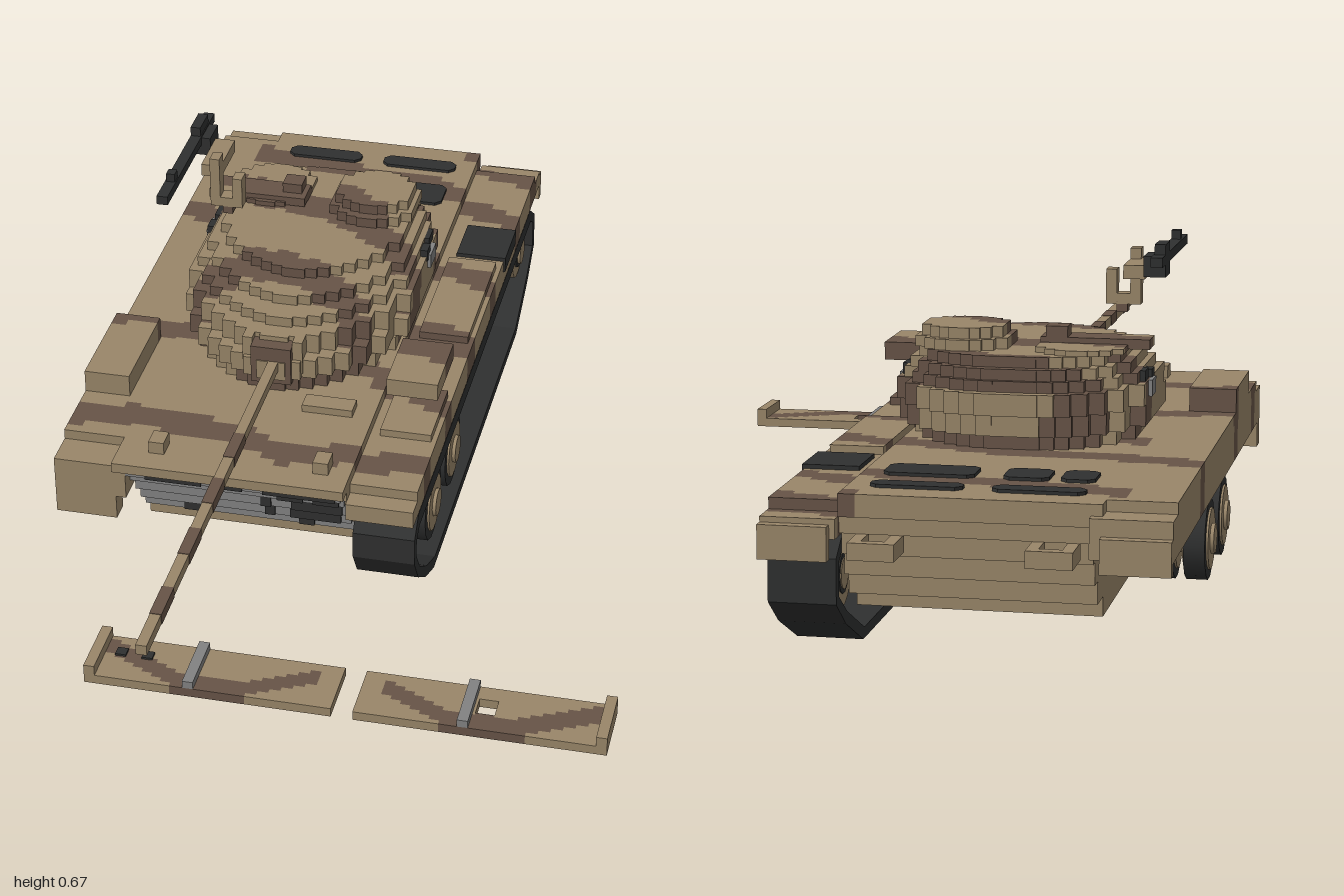
import * as THREE from 'three';
import { mergeGeometries } from 'three/addons/utils/BufferGeometryUtils.js';

const mat = (name, color) => { const m = new THREE.MeshStandardMaterial({ color }); m.name = name; return m; };

export function createModel() {
  const root = new THREE.Group();
  const tan = mat('tan', 0x998669), brown = mat('dark brown', 0x675447);
  const black = mat('black', 0x2f3030), grey = mat('grey', 0x828282);

  const add = (name, geo, m) => {
    const mesh = new THREE.Mesh(geo, m);
    mesh.name = name;
    root.add(mesh);
    return mesh;
  };
  // a box given by its bounds: x0, x1, y0, y1, z0, z1
  const boxGeo = ([x0, x1, y0, y1, z0, z1]) =>
    new THREE.BoxGeometry(x1 - x0, y1 - y0, z1 - z0).translate((x0 + x1) / 2, (y0 + y1) / 2, (z0 + z1) / 2);
  const boxes = (name, m, ...list) => add(name, mergeGeometries(list.map(boxGeo)), m);

  // wavy camouflage bands: points of (x, z) per band
  const bands = [
    [[-0.04, -0.96], [0, -0.91], [0.14, -0.87]],
    [[-0.47, -0.84], [-0.3, -0.8], [-0.1, -0.79], [0.14, -0.68]],
    [[-0.58, -0.58], [-0.45, -0.54], [-0.18, -0.52], [0.14, -0.41]],
    [[-0.46, -0.39], [-0.37, -0.37], [-0.18, -0.33], [-0.05, -0.24], [0.14, -0.18]],
    [[-0.58, -0.05], [-0.45, -0.1], [-0.3, -0.12], [-0.13, -0.09], [0, 0], [0.14, 0.05]],
    [[-0.58, 0.24], [-0.45, 0.22], [-0.26, 0.24], [-0.13, 0.29], [0.14, 0.23]],
  ];
  const bandZ = (pts, x) => {
    for (let i = 1; i < pts.length; i++) {
      const [[ax, az], [bx, bz]] = [pts[i - 1], pts[i]];
      if (x >= ax && x <= bx) return az + (bz - az) * (x - ax) / (bx - ax);
    }
    return 99;
  };
  const hullCamo = (x, y, z) => bands.some(b => Math.abs(z - bandZ(b, x)) < 0.034);
  // the bands lean back up the turret; its lower nose is dark
  const turretCamo = (x, y, z) => (y < 0.35 && z > -0.01 && x > -0.28 && x < -0.08)
    || bands.some(b => Math.abs(z + 0.4 * (y - 0.45) - bandZ(b, x)) < 0.04);

  // solid boxes cut into small columns, each run coloured by the pattern
  const camo = (name, list, pattern = hullCamo, cx = 0.03, cz = 0.02) => {
    const parts = [[], []];
    for (const [x0, x1, y0, y1, z0, z1] of list) {
      const nx = Math.max(1, Math.round((x1 - x0) / cx)), nz = Math.max(1, Math.round((z1 - z0) / cz));
      const X = i => x0 + (x1 - x0) * i / nx, Z = i => z0 + (z1 - z0) * i / nz;
      for (let i = 0; i < nx; i++) {
        const at = j => +pattern(X(i + 0.5), (y0 + y1) / 2, Z(j + 0.5));
        for (let j = 0, s = 0; j < nz; j++) {
          if (j + 1 < nz && at(j + 1) === at(s)) continue;
          parts[at(s)].push(boxGeo([X(i), X(i + 1), y0, y1, Z(s), Z(j + 1)]));
          s = j + 1;
        }
      }
    }
    if (parts[0].length) add(name, mergeGeometries(parts[0]), tan);
    if (parts[1].length) add(name + 'Stripes', mergeGeometries(parts[1]), brown);
  };

  // lower hull, stepped at both ends
  boxes('lowerHull', tan,
    [-0.43, 0, 0.085, 0.12, -0.8, 0.22], [-0.43, 0, 0.12, 0.16, -0.86, 0.24],
    [-0.43, 0, 0.16, 0.2, -0.89, 0.27], [-0.43, 0, 0.2, 0.24, -0.91, 0.3], [-0.43, 0, 0.24, 0.27, -0.93, 0.33]);
  // deck, fenders, end flaps and boxes on the fenders
  camo('deck', [[-0.45, 0, 0.27, 0.29, -0.94, 0.36], [-0.45, 0, 0.29, 0.31, -0.94, 0.39]]);
  camo('fenders', [
    [-0.57, -0.43, 0.22, 0.29, -0.96, 0.37], [0, 0.13, 0.235, 0.27, -0.96, 0.37],
    [0, 0.13, 0.27, 0.29, -0.9, 0.33], [-0.57, -0.45, 0.29, 0.31, -0.9, 0.3],
    [-0.57, -0.45, 0.17, 0.22, 0.33, 0.37], [-0.57, -0.45, 0.2, 0.26, -0.98, -0.96],
    [0.01, 0.13, 0.2, 0.26, -0.98, -0.96],
  ]);
  camo('stowageBoxes', [[-0.57, -0.48, 0.31, 0.355, -0.06, 0.16],
    [0.02, 0.12, 0.29, 0.305, -0.5, -0.2], [0.02, 0.12, 0.29, 0.305, 0, 0.16]]);
  camo('looseBox', [[0.03, 0.13, 0.38, 0.415, 0, 0.15]]);
  boxes('deckFittings', tan, [-0.39, -0.36, 0.31, 0.335, 0.3, 0.34], [-0.07, -0.04, 0.31, 0.335, 0.3, 0.34],
    [-0.14, -0.04, 0.31, 0.325, 0.1, 0.14]);

  // undercut nose: grey stepped plates with dark worn patches on the left half
  [[0.125, 0.16, 0.24], [0.16, 0.2, 0.27], [0.2, 0.24, 0.3], [0.24, 0.27, 0.33], [0.27, 0.29, 0.36]].forEach(([y0, y1, z], i) => {
    boxes('nosePlate', grey, [-0.43, -0.01, y0, y1, z, z + 0.009]);
    const patches = [
      [[-0.35, -0.31], [-0.12, -0.09]], [[-0.18, -0.16], [-0.13, -0.03]], [[-0.18, -0.16], [-0.12, -0.02]],
      [[-0.14, -0.09], [-0.07, -0.02]], [[-0.39, -0.28], [-0.24, -0.2], [-0.16, -0.02]],
    ][i];
    boxes('nosePatches', black, ...patches.map(([a, b]) => [a, b, y0, y1, z + 0.009, z + 0.013]));
  });

  // engine deck grilles and the dark fender panel
  const bevelPlate = (x0, x1, z0, z1) => {
    const c = 0.012, s = new THREE.Shape([[x0 + c, z0], [x1 - c, z0], [x1, z0 + c], [x1, z1 - c],
      [x1 - c, z1], [x0 + c, z1], [x0, z1 - c], [x0, z0 + c]].map(([x, z]) => new THREE.Vector2(x, -z)));
    return new THREE.ExtrudeGeometry(s, { depth: 0.006, bevelEnabled: false }).rotateX(-Math.PI / 2).translate(0, 0.31, 0);
  };
  const grilles = [[-0.41, -0.25, -0.88, -0.84], [-0.2, -0.04, -0.88, -0.84],
    [-0.41, -0.35, -0.775, -0.695], [-0.33, -0.25, -0.775, -0.695], [-0.2, -0.04, -0.775, -0.695]];
  add('grilles', mergeGeometries(grilles.map(g => bevelPlate(...g))), black);
  boxes('fenderPanel', black, [0.03, 0.134, 0.265, 0.298, -0.65, -0.53]);

  // rear towing loops
  for (const x of [-0.41, -0.11]) {
    boxes('towLoop', tan, [x, x + 0.02, 0.21, 0.24, -0.99, -0.92], [x + 0.06, x + 0.08, 0.21, 0.24, -0.99, -0.92],
      [x, x + 0.08, 0.21, 0.24, -1, -0.98]);
  }

  // rounded layer as columns: centre x, y0, y1, back z, front z, half width, sweep of the sides
  const round = (cx, y0, y1, zb, zf, r, sweep = 0, n = 16) => Array.from({ length: n }, (_, i) => {
    const w = 2 * r / n, x = -r + (i + 0.5) * w;
    const h = Math.sqrt(1 - (x / r) ** 2) ** 0.8 * (zf - zb) / 2, c = (zf + zb) / 2 - sweep * Math.abs(x);
    return [cx + x - w / 2, cx + x + w / 2, y0, y1, c - h, Math.min(zf, c + h)];
  });
  const layers = [
    [0.31, 0.34, -0.5, 0.08, 0.205], [0.34, 0.38, -0.54, 0.09, 0.228], [0.38, 0.42, -0.56, 0.06, 0.228],
    [0.42, 0.44, -0.54, 0.02, 0.215], [0.44, 0.46, -0.53, -0.03, 0.203], [0.46, 0.48, -0.51, -0.1, 0.185],
  ];
  camo('turret', layers.flatMap(([y0, y1, zb, zf, r]) => round(-0.215, y0, y1, zb, zf, r, 0.15)), turretCamo);
  // stepped cupola and hatch
  camo('cupola', [...round(-0.11, 0.48, 0.5, -0.47, -0.29, 0.085, 0, 8), ...round(-0.11, 0.5, 0.52, -0.455, -0.31, 0.075, 0, 8)], turretCamo);
  camo('hatch', [...round(-0.33, 0.48, 0.49, -0.49, -0.33, 0.08, 0, 8), [-0.45, -0.25, 0.482, 0.5, -0.4, -0.34]], turretCamo);
  boxes('sight', brown, [-0.3, -0.26, 0.48, 0.52, -0.4, -0.36]);

  // mantlet and striped gun
  boxes('mantlet', brown, [-0.255, -0.175, 0.33, 0.41, -0.02, 0.085]);
  boxes('mantletCheeks', tan, [-0.275, -0.255, 0.35, 0.42, -0.02, 0.07], [-0.175, -0.155, 0.35, 0.42, -0.02, 0.07]);
  boxes('gun', tan, [-0.22, -0.2, 0.36, 0.38, 0.05, 1]);
  boxes('gunStripes', brown, ...[0.34, 0.49, 0.65, 0.83].map(z => [-0.221, -0.199, 0.359, 0.381, z, z + 0.08]));

  // side launchers
  for (const [x, d] of [[0, 1], [-0.43, -1]]) {
    const b = (a, c, ...r) => [Math.min(x + a * d, x + c * d), Math.max(x + a * d, x + c * d), ...r];
    boxes('launcherMount', grey, b(-0.02, 0.02, 0.39, 0.42, -0.36, -0.31));
    boxes('launcherTubes', black, b(-0.03, 0.01, 0.42, 0.44, -0.38, -0.34), b(-0.03, 0.015, 0.41, 0.435, -0.33, -0.3));
  }

  // roof machine gun on its bracket
  boxes('machineGun', black, [-0.47, -0.448, 0.63, 0.648, -0.39, -0.04], [-0.47, -0.43, 0.607, 0.645, -0.35, -0.29],
    [-0.47, -0.45, 0.64, 0.667, -0.35, -0.29], [-0.467, -0.45, 0.64, 0.665, -0.12, -0.1]);
  boxes('gunBracket', tan, [-0.43, -0.39, 0.6, 0.625, -0.33, -0.22], [-0.41, -0.39, 0.54, 0.645, -0.24, -0.21],
    [-0.41, -0.345, 0.54, 0.56, -0.24, -0.21], [-0.365, -0.345, 0.54, 0.605, -0.24, -0.21]);
  boxes('bracketFoot', brown, [-0.385, -0.365, 0.525, 0.545, -0.24, -0.21]);

  // left track as an extruded ring (points are z, y)
  const pts = a => a.map(([z, y]) => new THREE.Vector2(z, y));
  const ring = new THREE.Shape(pts([[0.17, 0], [0.25, 0.035], [0.32, 0.085], [0.355, 0.14], [0.355, 0.195], [0.32, 0.233],
    [-0.85, 0.233], [-0.91, 0.19], [-0.91, 0.11], [-0.84, 0.06], [-0.71, 0]]));
  ring.holes.push(new THREE.Path(pts([[0.16, 0.02], [-0.7, 0.02], [-0.83, 0.08], [-0.89, 0.12], [-0.89, 0.18],
    [-0.86, 0.2], [0.31, 0.2], [0.335, 0.18], [0.335, 0.145], [0.305, 0.1], [0.24, 0.055]])));
  add('track', new THREE.ExtrudeGeometry(ring, { depth: 0.12, bevelEnabled: false })
    .rotateY(-Math.PI / 2).translate(0.13, 0, 0), black);

  // paired road wheels with black tyres and tan faces
  const wheelPart = (name, x0, x1, y, z, r, m) =>
    add(name, new THREE.CylinderGeometry(r, r, x1 - x0, 14).rotateZ(Math.PI / 2).translate((x0 + x1) / 2, y, z), m);
  const wheel = (xi, z) => {
    for (const x of [xi, xi + 0.06]) {
      wheelPart('tyre', x, x + 0.04, 0.115, z, 0.077, black);
      wheelPart('wheelFace', x - 0.004, x + 0.044, 0.115, z, 0.058, tan);
    }
    wheelPart('hub', xi - 0.011, xi + 0.111, 0.115, z, 0.028, tan);
  };
  for (const z of [0.11, -0.08]) wheel(0.015, z);
  for (const z of [-0.08, -0.29]) wheel(-0.55, z);
  boxes('axles', tan, ...[-0.08, -0.29].map(z => [-0.46, -0.42, 0.1, 0.13, z - 0.015, z + 0.015]));

  // drive sprocket and front idler inside the track
  wheelPart('sprocket', 0.02, 0.11, 0.145, -0.82, 0.06, tan);
  wheelPart('sprocketRing', 0.018, 0.114, 0.145, -0.82, 0.036, black);
  wheelPart('sprocketHub', 0.016, 0.12, 0.145, -0.82, 0.028, tan);
  wheelPart('idler', 0.02, 0.11, 0.16, 0.285, 0.042, tan);

  // two loose plates in front, each with an outer lip and a grey strap; the left one is pierced
  const plates = [
    [-0.16, -0.39, -0.205, [[-0.39, 0.07, 0.67, 0.79]]],
    [0.34, 0.55, 0.3, [[0.11, 0.325, 0.67, 0.79], [0.36, 0.57, 0.67, 0.79], [0.325, 0.36, 0.67, 0.705], [0.325, 0.36, 0.745, 0.79]]],
  ];
  for (const [mid, lip, strap, slabs] of plates) {
    const wave = (x, y, z) => Math.abs(x - mid) < 0.2
      && Math.abs(z - Math.min(0.77, 0.8 - 0.48 * Math.abs(x - mid))) < 0.021;
    camo('frontPlate', slabs.map(([a, b, c, d]) => [a, b, 0.107, 0.125, c, d]), wave, 0.02, 0.01);
    boxes('plateLip', tan, [lip, lip + 0.02, 0.125, 0.145, 0.67, 0.79]);
    boxes('plateStrap', grey, [strap, strap + 0.02, 0.125, 0.14, 0.67, 0.79]);
  }
  boxes('plateMarks', black, [-0.35, -0.33, 0.125, 0.129, 0.705, 0.725], [-0.3, -0.28, 0.125, 0.129, 0.705, 0.725]);
  return root;
}
